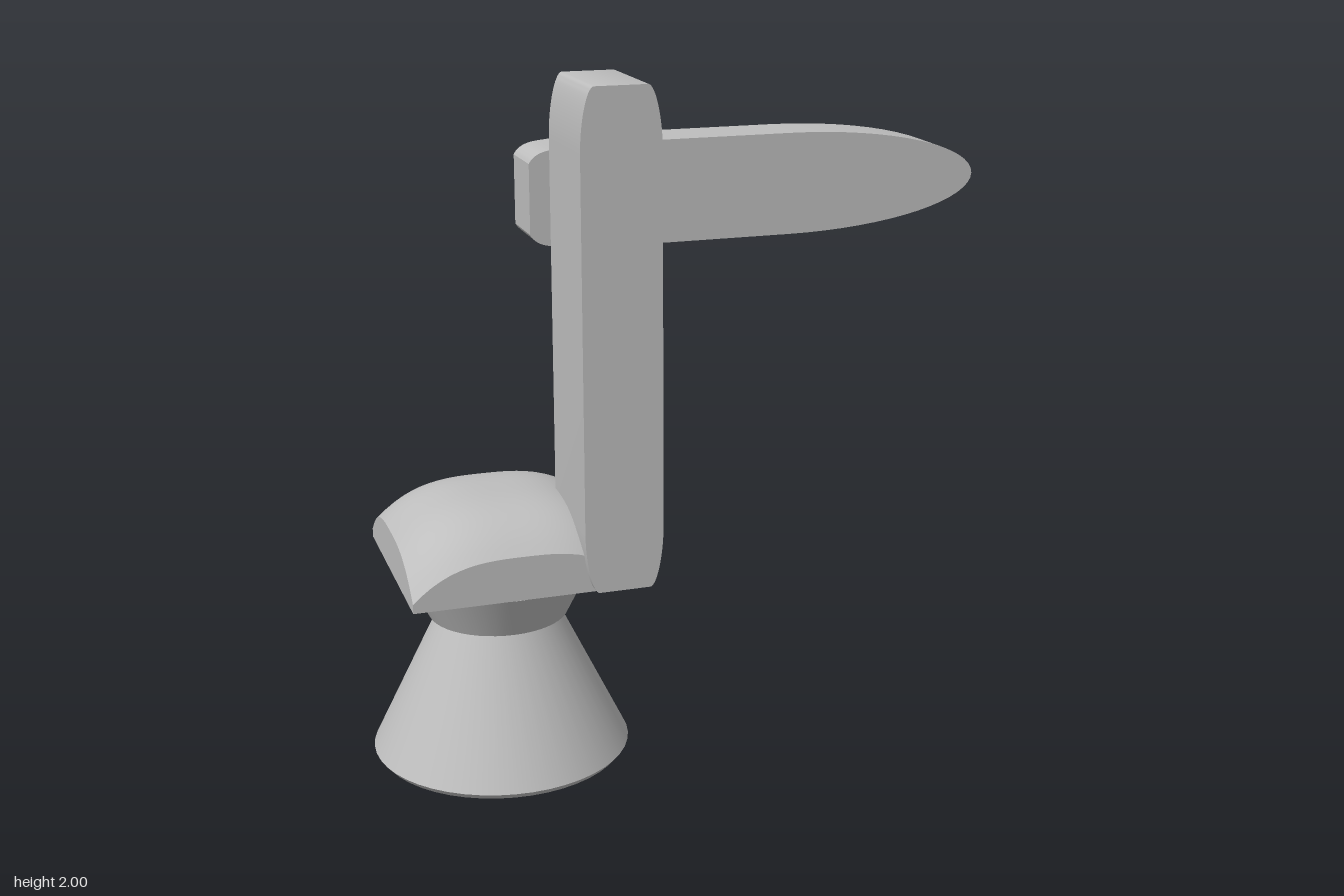
import * as THREE from 'three';
import { toCreasedNormals } from 'three/addons/utils/BufferGeometryUtils.js';

const AXIS_X = -0.55; // centre line of the pedestal

export function createModel() {
  const model = new THREE.Group();
  const grey = new THREE.MeshStandardMaterial({ color: 0xbebebe });
  grey.name = 'plain grey';

  const add = (name, geometry, x = 0, y = 0, z = 0) => {
    const mesh = new THREE.Mesh(geometry, grey);
    mesh.name = name;
    mesh.position.set(x, y, z);
    model.add(mesh);
  };
  const lathe = (points) => toCreasedNormals(
    new THREE.LatheGeometry(points.map(([r, y]) => new THREE.Vector2(r, y)), 48), 0.5);
  const slab = (shape, depth) => toCreasedNormals(
    new THREE.ExtrudeGeometry(shape, { depth, bevelEnabled: false, curveSegments: 16 }), 0.5);

  // Conical foot with a small chamfer, and the flared collar above it
  add('foot', lathe([[0, 0], [0.365, 0], [0.38, 0.018], [0.18, 0.43], [0, 0.43]]), AXIS_X);
  add('collar', lathe([[0, 0.43], [0.205, 0.43], [0.27, 0.56], [0, 0.56]]), AXIS_X);

  // Square cushion: crowned top, low corners, slightly bellied underside
  const half = 0.315;
  const cushion = new THREE.BoxGeometry(2 * half, 1, 2 * half, 24, 1, 24);
  const pos = cushion.attributes.position;
  for (let i = 0; i < pos.count; i++) {
    const u = Math.abs(pos.getX(i)) / half, v = Math.abs(pos.getZ(i)) / half;
    const top = 0.812 - 0.103 * (u ** 3 + v ** 3);
    const bottom = 0.54 + 0.04 * Math.max(u, v) ** 2;
    pos.setY(i, pos.getY(i) > 0 ? top : bottom);
  }
  cushion.computeVertexNormals();
  add('cushion', cushion, AXIS_X + 0.005);

  // Upright arm with tall, narrow rounded corners
  const w = 0.114, h = 0.7075, rx = 0.04, ry = 0.18;
  const upright = new THREE.Shape();
  upright.moveTo(-w + rx, -h);
  upright.lineTo(w - rx, -h);
  upright.bezierCurveTo(w - rx / 2, -h, w, -h + ry / 2, w, -h + ry);
  upright.lineTo(w, h - ry);
  upright.bezierCurveTo(w, h - ry / 2, w - rx / 2, h, w - rx, h);
  upright.lineTo(-w + rx, h);
  upright.bezierCurveTo(-w + rx / 2, h, -w, h - ry / 2, -w, h - ry);
  upright.lineTo(-w, -h + ry);
  upright.bezierCurveTo(-w, -h + ry / 2, -w + rx / 2, -h, -w + rx, -h);
  add('uprightArm', slab(upright, 0.317), -0.262, 1.2925, 0.026);

  // Horizontal arm: blunt inner end, long elliptical tip
  const boom = new THREE.Shape();
  boom.moveTo(-0.435, -0.1);
  boom.bezierCurveTo(-0.42, -0.128, -0.39, -0.134, -0.36, -0.137);
  boom.quadraticCurveTo(-0.25, -0.148, -0.15, -0.148);
  boom.lineTo(0.34, -0.148);
  boom.absellipse(0.34, 0, 0.585, 0.148, -Math.PI / 2, Math.PI / 2, false, 0);
  boom.lineTo(-0.15, 0.148);
  boom.quadraticCurveTo(-0.25, 0.148, -0.36, 0.137);
  boom.bezierCurveTo(-0.39, 0.134, -0.42, 0.128, -0.435, 0.1);
  boom.closePath();
  add('horizontalArm', slab(boom, 0.172), 0, 1.65, -0.146);

  return model;
}
